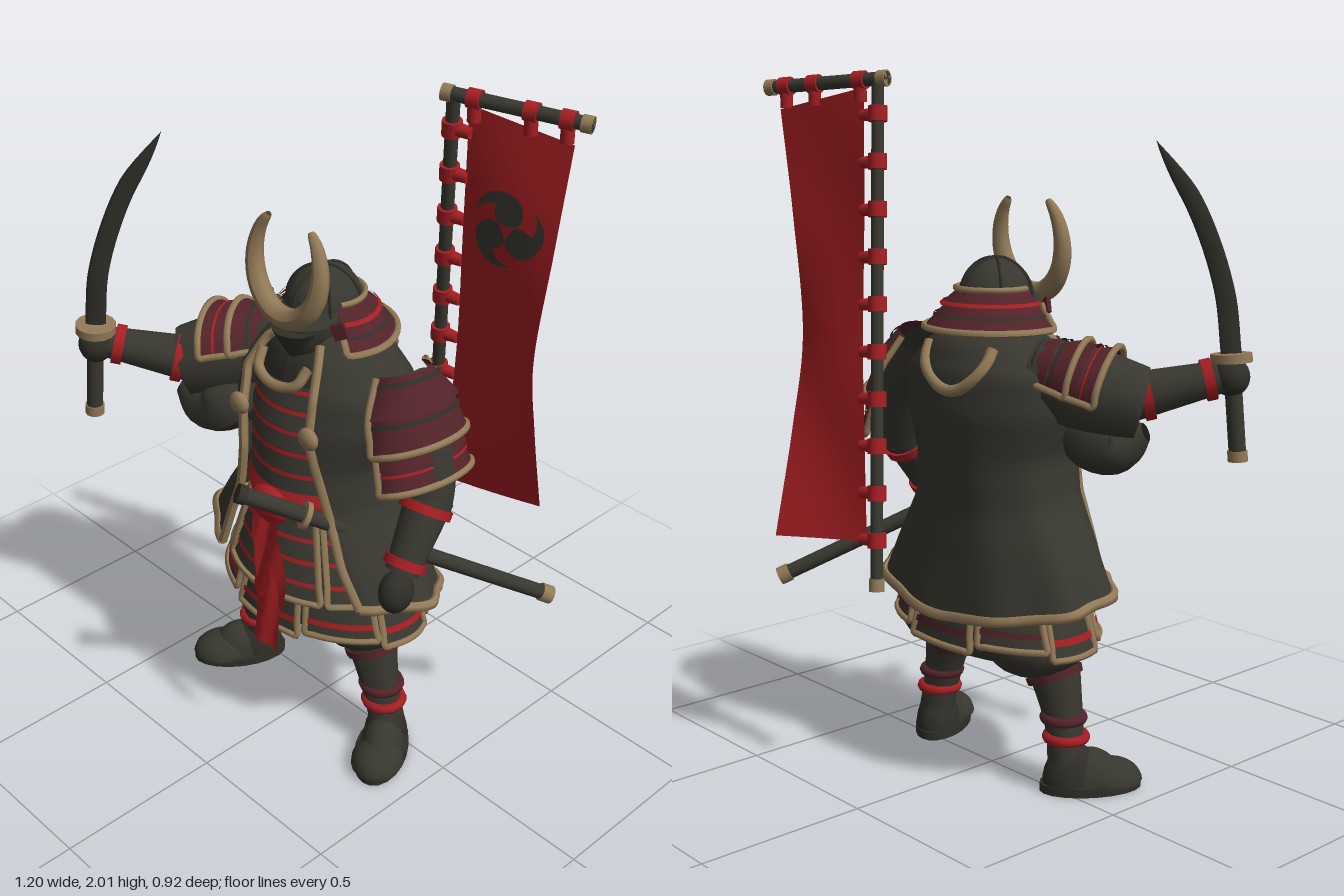
import * as THREE from 'three';

const mat = (name, color) => new THREE.MeshStandardMaterial({ name, color, side: THREE.DoubleSide });
const dark = mat('charcoal cloth', 0x38372f), iron = mat('dark iron', 0x2f2e28), red = mat('red cloth', 0xa51e22);
const maroon = mat('maroon lacquer', 0x522328), tan = mat('tan trim', 0x927a57);
const { sin, cos, PI, abs, min, floor } = Math;
const V = (p) => new THREE.Vector3(...p);

function add(parent, name, geo, material, pos) {
  const m = new THREE.Mesh(geo, material);
  m.name = name;
  if (pos) m.position.set(...pos);
  parent.add(m);
  return m;
}
// Grid surface from fn(u, v) -> [x, y, z]
function surface(fn, nu, nv) {
  const pos = [], idx = [], n = nu + 1;
  for (let j = 0; j <= nv; j++) for (let i = 0; i <= nu; i++) pos.push(...fn(i / nu, j / nv));
  for (let j = 0; j < nv; j++) for (let i = 0; i < nu; i++) {
    const a = j * n + i;
    idx.push(a, a + n, a + 1, a + 1, a + n, a + n + 1);
  }
  const g = new THREE.BufferGeometry();
  g.setAttribute('position', new THREE.Float32BufferAttribute(pos, 3));
  g.setIndex(idx);
  g.computeVertexNormals();
  return g;
}
// Tube along points whose radius is scaled by f(t)
function tube(points, r, f = () => 1, sides = 10) {
  const c = new THREE.CatmullRomCurve3(points.map(V)), n = points.length * 5;
  const g = new THREE.TubeGeometry(c, n, r, sides), p = g.attributes.position, v = new THREE.Vector3();
  for (let i = 0; i < p.count; i++) {
    const t = floor(i / (sides + 1)) / n, o = c.getPointAt(t);
    v.fromBufferAttribute(p, i).sub(o).multiplyScalar(f(t)).add(o);
    p.setXYZ(i, v.x, v.y, v.z);
  }
  g.computeVertexNormals();
  return g;
}
const trim = (points, r) => tube(points, r, undefined, 6);
const lerp3 = (a, b, t) => a.map((x, i) => x + (b[i] - x) * t);
function rowAt(rows, t) {
  const s = min(t, 0.9999) * (rows.length - 1), i = floor(s);
  return lerp3(rows[i], rows[i + 1], s - i);
}
// Point on an oval hoop [y, half width, front z, back depth]; angle 0 faces the front
const hoop = (r, a) => [r[1] * sin(a), r[0], cos(a) * (cos(a) > 0 ? r[2] : r[3])];
const loft = (rows, a0 = 0, a1 = 2 * PI, n = 40) => surface((u, v) => hoop(rowAt(rows, v), a0 + (a1 - a0) * u), n, (rows.length - 1) * 3);
const samples = (fn, n = 24) => Array.from({ length: n + 1 }, (_, i) => fn(i / n));
// Straight tapered rod between two points
function rod(parent, name, a, b, ra, rb, material) {
  const A = V(a), B = V(b), d = B.clone().sub(A);
  const m = add(parent, name, new THREE.CylinderGeometry(rb, ra, d.length(), 14), material);
  m.position.copy(A).lerp(B, 0.5);
  m.quaternion.setFromUnitVectors(new THREE.Vector3(0, 1, 0), d.normalize());
}
function ball(parent, name, pos, scale, material) {
  add(parent, name, new THREE.SphereGeometry(1, 18, 12), material, pos).scale.set(...scale);
}
// Armour panel on hoops: plate rows, lacing stripes and tan border
function panel(parent, name, rows, ac, hw, count, plate, lace, border = true, t0 = 0.12, t1 = 0.3) {
  const g = new THREE.Group();
  g.name = name;
  parent.add(g);
  const out = (r, k) => [r[0], r[1] + k, r[2] + k, r[3] + k];
  for (let i = 0; i < count; i++) {
    const top = rowAt(rows, i / count), low = out(rowAt(rows, (i + 1) / count), 0.012);
    add(g, 'plateRow', loft([top, low], ac - hw, ac + hw, 14), plate);
    add(g, 'lacing', loft([t0, t1].map((t) => out(rowAt([top, low], t), 0.007)), ac - hw, ac + hw, 14), lace);
  }
  if (!border) return;
  const edge = (t, s) => hoop(out(rowAt(rows, t), 0.012), ac + s * hw);
  const path = [...samples((t) => edge(t, -1), 5), ...samples((t) => edge(1, -0.8 + t * 1.6), 8), ...samples((t) => edge(1 - t, 1), 5)];
  add(g, 'border', trim(path, 0.01), tan);
}

function buildCoat(root) {
  const rows = [[1.32, 0.1, 0.1, 0.1], [1.265, 0.2, 0.15, 0.16], [1.19, 0.28, 0.2, 0.195], [1.08, 0.28, 0.235, 0.205], [0.95, 0.24, 0.25, 0.19],
    [0.82, 0.26, 0.25, 0.175], [0.68, 0.35, 0.26, 0.19], [0.57, 0.41, 0.265, 0.21]];
  const gap = [[0.06, 0.06], [0.1, 0.12], [0.13, 0.14], [0.14, 0.12], [0.16, 0.11], [0.19, 0.13], [0.25, 0.17], [0.31, 0.2]];
  const fn = (u, v) => {
    const r = rowAt(rows, v), o = rowAt(gap, v);
    const aL = Math.asin(o[0] / r[1]), aR = Math.asin(o[1] / r[1]);
    const a = aL + (2 * PI - aR - aL) * u, p = hoop(r, a), fold = 1 + 0.025 * sin(a * 9) * v ** 3;
    return [p[0] * fold, p[1] + v ** 3 * (0.035 * abs(sin(a)) - 0.035 * (1 - cos(a))), p[2] * fold];
  };
  add(root, 'coat', surface(fn, 72, 28), dark);
  add(root, 'coatHem', trim(samples((t) => fn(t, 1), 40), 0.016), tan);
  for (const u of [0, 1]) {
    add(root, 'coatFrontEdge', trim(samples((t) => fn(u, 0.05 + t * 0.95)), 0.014), tan);
    const k = fn(u, 0.42);
    ball(root, 'coatKnot', [k[0] * 1.05, k[1], k[2] + 0.01], [0.035, 0.033, 0.02], tan);
  }
  add(root, 'backArc', tube(samples((t) => fn(0.53 + (t - 0.5) * 0.25, 0.15 + 0.19 * sin(t * PI)), 10), 0.017), tan);
}

function buildBody(root) {
  add(root, 'torso', loft([[1.31, 0.09, 0.1, 0.08], [1.24, 0.18, 0.155, 0.13], [1.1, 0.2, 0.19, 0.15], [0.9, 0.19, 0.2, 0.14], [0.8, 0.21, 0.2, 0.15]]), iron);
  panel(root, 'chestPlates', [[1.2, 0.18, 0.18, 0.1], [1.05, 0.2, 0.21, 0.1], [0.88, 0.2, 0.215, 0.1]], 0, 0.85, 5, dark, red, false);
  add(root, 'chestTrim', tube([[-0.09, 1.26, 0.16], [-0.075, 1.215, 0.19], [0, 1.195, 0.205], [0.075, 1.215, 0.19], [0.09, 1.26, 0.16]], 0.015), tan);
  // Trousers, skirt plates and lower hem
  add(root, 'trousers', loft([[0.82, 0.2, 0.19, 0.14], [0.6, 0.29, 0.22, 0.17], [0.44, 0.33, 0.23, 0.18], [0.38, 0.28, 0.17, 0.15], [0.37, 0.02, 0.02, 0.02]]), dark);
  for (let i = 0; i < 8; i++) {
    const dip = i % 2 ? 0.025 : 0;
    panel(root, 'lowerSkirtPlate', [[0.62, 0.28, 0.21, 0.165], [0.415 + dip, 0.345, 0.245, 0.195]], (i * PI) / 4, 0.35, 1, dark, abs(i - 4) < 2 ? maroon : red, true, 0.72, 0.81);
  }
  for (const a of [-1.75, -1.05, -0.36, 0.36, 1.05, 1.75])
    panel(root, 'upperSkirtPlate', [[0.81, 0.2, 0.205, 0.13], [0.545, 0.295, 0.255, 0.16]], a, 0.3, 4, dark, red);
  add(root, 'sash', loft([[0.88, 0.21, 0.222, 0.14], [0.84, 0.22, 0.24, 0.15], [0.79, 0.215, 0.228, 0.15]]), red);
  ball(root, 'sashKnot', [0.02, 0.83, 0.245], [0.075, 0.055, 0.035], red);
  for (const [x, y, z, w] of [[0.07, 0.56, 0.3, 0.1], [0.075, 0.41, 0.32, 0.075]])
    add(root, 'sashTail', surface((u, v) => [0.025 + (x - 0.025) * v + (u - 0.5) * w * (1 + v * 0.35), 0.83 + (y - 0.83) * v - 0.02 * u * v,
      0.26 + (z - 0.26) * v + 0.01 * sin(v * 6 + u * 7)], 6, 10), red);
}

function buildLeg(root, s) {
  const g = new THREE.Group();
  g.name = s > 0 ? 'leftLeg' : 'rightLeg';
  root.add(g);
  ball(g, 'trouserLeg', [s * 0.185, 0.425, 0.01], [0.14, 0.105, 0.16], dark);
  add(g, 'shin', tube([[s * 0.2, 0.42, 0.03], [s * 0.24, 0.3, 0.035], [s * 0.27, 0.18, 0.035], [s * 0.29, 0.06, 0.025]], 0.092, (t) => 1 - 0.42 * sin(min(t * 1.2, 1) * PI / 2)), dark);
  rod(g, 'kneeBand', [s * 0.225, 0.335, 0.034], [s * 0.233, 0.315, 0.035], 0.083, 0.081, maroon);
  for (const [y, m] of [[0.155, red], [0.21, maroon]])
    add(g, 'ankleTie', new THREE.TorusGeometry(0.054, 0.015, 8, 20), m, [s * (0.31 - y * 0.2), y, 0.033]).rotation.x = PI / 2;
  const foot = new THREE.Group();
  foot.name = 'foot';
  foot.position.set(s * 0.32, 0, 0.078);
  foot.rotation.y = s * 0.56;
  g.add(foot);
  const dome = new THREE.SphereGeometry(1, 18, 8, 0, 2 * PI, 0, PI / 2);
  add(foot, 'heel', dome, iron, [0, 0.02, -0.045]).scale.set(0.066, 0.12, 0.085);
  add(foot, 'instep', dome, dark, [0, 0.02, 0]).scale.set(0.066, 0.1, 0.1);
  add(foot, 'toe', dome, dark, [0, 0.02, 0.065]).scale.set(0.078, 0.065, 0.095);
  add(foot, 'sole', new THREE.CylinderGeometry(1, 1, 0.025, 20), iron, [0, 0.0125, 0.01]).scale.set(0.078, 1, 0.148);
}

// Shoulder guard wrapped around an arm axis, facing outward
function shoulderGuard(root, start, dir, out, rows) {
  const y = V(dir).normalize().negate(), z = V(out);
  z.addScaledVector(y, -z.dot(y)).normalize();
  const g = new THREE.Group();
  g.name = 'shoulderGuard';
  g.quaternion.setFromRotationMatrix(new THREE.Matrix4().makeBasis(y.clone().cross(z), y, z));
  g.position.set(...start);
  root.add(g);
  rows.forEach((r, i) => panel(g, 'shoulderPlates', r, 0, 1.6, 2, maroon, i ? red : iron, true, 0.15, 0.27));
}

function forearm(root, a, b, ra, rb) {
  rod(root, 'forearm', a, b, ra, rb, dark);
  for (const t of [0.15, 0.88]) {
    const r = ra + (rb - ra) * t + 0.01;
    rod(root, 'armTie', lerp3(a, b, t - 0.06), lerp3(a, b, t + 0.06), r, r, red);
  }
}

function buildArms(root) {
  add(root, 'rightSleeve', tube([[-0.16, 1.19, 0], [-0.25, 1.16, 0.06], [-0.33, 1.13, 0.14], [-0.39, 1.11, 0.2]], 0.115, (t) => 0.9 + 0.15 * sin(t * PI)), dark);
  // Hanging sleeve cloth: flattened bag narrowing to the cuff
  add(root, 'rightSleeveDrape', tube([[-0.19, 1.1, 0.05], [-0.26, 1.03, 0.12], [-0.32, 0.99, 0.17], [-0.4, 1.03, 0.21]], 0.105, (t) => 0.25 + 0.7 * sin(t * PI)), dark);
  forearm(root, [-0.36, 1.125, 0.2], [-0.52, 1.18, 0.37], 0.068, 0.046);
  ball(root, 'rightHand', [-0.54, 1.18, 0.4], [0.05, 0.055, 0.052], iron);
  shoulderGuard(root, [-0.17, 1.2, 0], [-0.2, -0.05, 0.12], [-0.12, 1, -0.1],
    [[[0, 0.08, 0.08, 0.08], [-0.13, 0.125, 0.105, 0.1]], [[-0.11, 0.12, 0.095, 0.1], [-0.215, 0.14, 0.105, 0.11]]]);
  add(root, 'leftUpperArm', tube([[0.24, 1.2, -0.02], [0.33, 1.12, -0.02], [0.39, 0.98, -0.01], [0.41, 0.9, 0.01]], 0.1, (t) => 1 - 0.35 * t), dark);
  forearm(root, [0.405, 0.93, 0], [0.425, 0.75, 0.125], 0.068, 0.048);
  ball(root, 'leftHand', [0.43, 0.7, 0.15], [0.045, 0.065, 0.055], iron);
  shoulderGuard(root, [0.255, 1.26, -0.03], [0.11, -0.32, 0.01], [1, 0.35, 0],
    [[[0, 0.08, 0.08, 0.08], [-0.1, 0.14, 0.11, 0.1], [-0.2, 0.15, 0.11, 0.1]], [[-0.18, 0.135, 0.1, 0.1], [-0.31, 0.15, 0.095, 0.1]]]);
}

function buildHead(root) {
  const g = new THREE.Group();
  g.name = 'head';
  root.add(g);
  ball(g, 'face', [0, 1.32, 0.06], [0.078, 0.1, 0.09], iron);
  add(g, 'maskChin', new THREE.ConeGeometry(0.07, 0.13, 12), iron, [0, 1.275, 0.115]).rotation.x = PI;
  add(g, 'helmetBowl', new THREE.SphereGeometry(1, 28, 12, 0, 2 * PI, 0, PI / 2), dark, [0, 1.38, 0.015]).scale.set(0.1, 0.115, 0.115);
  for (let i = 0; i < 6; i++) {
    const a = (i * PI) / 3;
    add(g, 'helmetRib', trim(samples((t) => [0.101 * sin(a) * sin(t * PI / 2), 1.38 + 0.116 * cos(t * PI / 2), 0.015 + 0.116 * cos(a) * sin(t * PI / 2)], 6), 0.005), iron);
  }
  add(g, 'visor', loft([[1.4, 0.1, 0.13, 0.1], [1.36, 0.11, 0.18, 0.1]], -1.2, 1.2, 20), dark);
  // Neck guard: tan top ring, laced upper row, bordered lower row
  add(g, 'neckGuardRing', trim(samples((t) => hoop([1.412, 0.104, 0.1, 0.1], PI - 2 + 4 * t), 14), 0.009), tan);
  panel(g, 'neckGuardTop', [[1.41, 0.1, 0.1, 0.09], [1.365, 0.14, 0.12, 0.13]], PI, 2.1, 1, maroon, red, false, 0.7, 0.9);
  panel(g, 'neckGuard', [[1.37, 0.135, 0.12, 0.125], [1.305, 0.185, 0.14, 0.175]], PI, 2.15, 1, maroon, iron, true, 0.4, 0.5);
  for (const s of [-1, 1]) add(g, 'cheekFlap', new THREE.BoxGeometry(0.04, 0.045, 0.012), maroon, [s * 0.135, 1.365, 0.085]).rotation.set(0, s * 0.5, s * 0.4);
  // Crescent crest
  add(g, 'crescentHorns', tube(samples((t) => {
    const a = (t - 0.5) * 4.9;
    return [0.128 * sin(a), 1.525 - 0.14 * cos(a) + 0.02 * (t * 2 - 1) ** 2, 0.148 + 0.015 * cos(a)];
  }, 16), 0.031, (t) => 0.25 + 0.75 * sin(t * PI) ** 0.55), tan);
}

function buildSwords(root) {
  const c = new THREE.CatmullRomCurve3([[-0.537, 1.24, 0.4], [-0.515, 1.42, 0.388], [-0.465, 1.64, 0.325], [-0.39, 1.82, 0.24]].map(V));
  add(root, 'blade', surface((u, v) => {
    const p = c.getPoint(v), a = u * 2 * PI, w = 0.029 * (v > 0.75 ? 1 - ((v - 0.75) / 0.25) ** 1.5 : 1);
    const e = w * cos(a), h = w * 0.3 * sin(a);
    return [p.x + 0.66 * e + 0.75 * h, p.y, p.z - 0.75 * e + 0.66 * h];
  }, 8, 20), iron);
  rod(root, 'swordGuard', [-0.538, 1.22, 0.4], [-0.536, 1.245, 0.4], 0.058, 0.058, tan);
  rod(root, 'swordGrip', [-0.56, 0.97, 0.41], [-0.538, 1.23, 0.4], 0.024, 0.024, dark);
  rod(root, 'swordPommel', [-0.562, 0.945, 0.41], [-0.56, 0.975, 0.41], 0.028, 0.028, tan);
  // Sheathed sword across the hip
  const a = [0.03, 0.93, 0.37], b = [0.58, 0.51, -0.345], at = (t) => lerp3(a, b, t);
  rod(root, 'scabbard', at(0.02), at(0.98), 0.024, 0.022, dark);
  rod(root, 'sheathedPommel', at(0), at(0.025), 0.028, 0.028, iron);
  rod(root, 'sheathedGuard', at(0.2), at(0.215), 0.04, 0.04, tan);
  rod(root, 'scabbardTip', at(0.965), at(1), 0.027, 0.027, tan);
}

function buildBanner(root) {
  const g = new THREE.Group();
  g.name = 'banner';
  root.add(g);
  const low = [0.08, 0.58, -0.36], top = [0.25, 1.99, -0.2], barA = [0.22, 1.985, -0.19], barB = [0.59, 1.96, -0.335];
  rod(g, 'pole', low, top, 0.018, 0.018, dark);
  rod(g, 'poleFoot', low, lerp3(low, top, 0.025), 0.022, 0.022, tan);
  rod(g, 'crossbar', barA, barB, 0.019, 0.019, dark);
  rod(g, 'barEnd', barA, lerp3(barA, barB, 0.07), 0.023, 0.023, tan);
  rod(g, 'barEnd', lerp3(barA, barB, 0.93), barB, 0.023, 0.023, tan);
  const L = new THREE.CatmullRomCurve3([[0.285, 1.96, -0.222], [0.262, 1.6, -0.245], [0.225, 1.25, -0.285], [0.185, 1, -0.315], [0.135, 0.71, -0.35]].map(V));
  const R = new THREE.CatmullRomCurve3([[0.55, 1.9, -0.32], [0.525, 1.6, -0.303], [0.48, 1.25, -0.31], [0.455, 1, -0.37], [0.425, 0.69, -0.46]].map(V));
  const cloth = (u, v) => {
    const p = L.getPoint(v).lerp(R.getPoint(v), u);
    return [p.x, p.y, p.z + 0.012 * sin(u * PI) * sin(v * 9)];
  };
  add(g, 'bannerCloth', surface(cloth, 12, 40), red);
  // Ties to pole and bar
  for (let i = 0; i < 10; i++) {
    const t = 0.1 + i * 0.092, p = lerp3(low, top, t);
    rod(g, 'poleTie', lerp3(low, top, t - 0.015), lerp3(low, top, t + 0.015), 0.027, 0.027, red);
    rod(g, 'tieLoop', p, [p[0] + 0.055, p[1] - 0.005, p[2] - 0.012], 0.02, 0.016, red);
  }
  for (const t of [0.22, 0.6, 0.84]) {
    const p = lerp3(barA, barB, t);
    rod(g, 'barTie', lerp3(barA, barB, t - 0.045), lerp3(barA, barB, t + 0.045), 0.026, 0.026, red);
    rod(g, 'barLoop', p, [p[0], p[1] - 0.06, p[2]], 0.018, 0.018, red);
  }
  // Three painted swirls
  const s = new THREE.Shape();
  s.moveTo(0, 0.012);
  for (const q of [[0.045, 0.01, 0.045, 0.05], [0.045, 0.105, -0.02, 0.105], [-0.08, 0.1, -0.1, 0.03], [-0.07, 0.07, -0.035, 0.065], [-0.045, 0.01, 0, 0.012]]) s.quadraticCurveTo(...q);
  for (let i = 0; i < 3; i++) {
    const geo = new THREE.ShapeGeometry(s, 8).rotateZ((i * 2 * PI) / 3), p = geo.attributes.position;
    for (let k = 0; k < p.count; k++) {
      const c = cloth(0.5 + p.getX(k) / 0.28, 0.22 - p.getY(k) / 1.3);
      p.setXYZ(k, c[0] + 0.003, c[1], c[2] + 0.008);
    }
    geo.computeVertexNormals();
    add(g, 'bannerSwirl', geo, dark);
  }
}

export function createModel() {
  const root = new THREE.Group();
  root.name = 'armouredWarrior';
  buildBody(root);
  buildCoat(root);
  for (const s of [-1, 1]) buildLeg(root, s);
  for (const build of [buildArms, buildHead, buildSwords, buildBanner]) build(root);
  return root;
}
